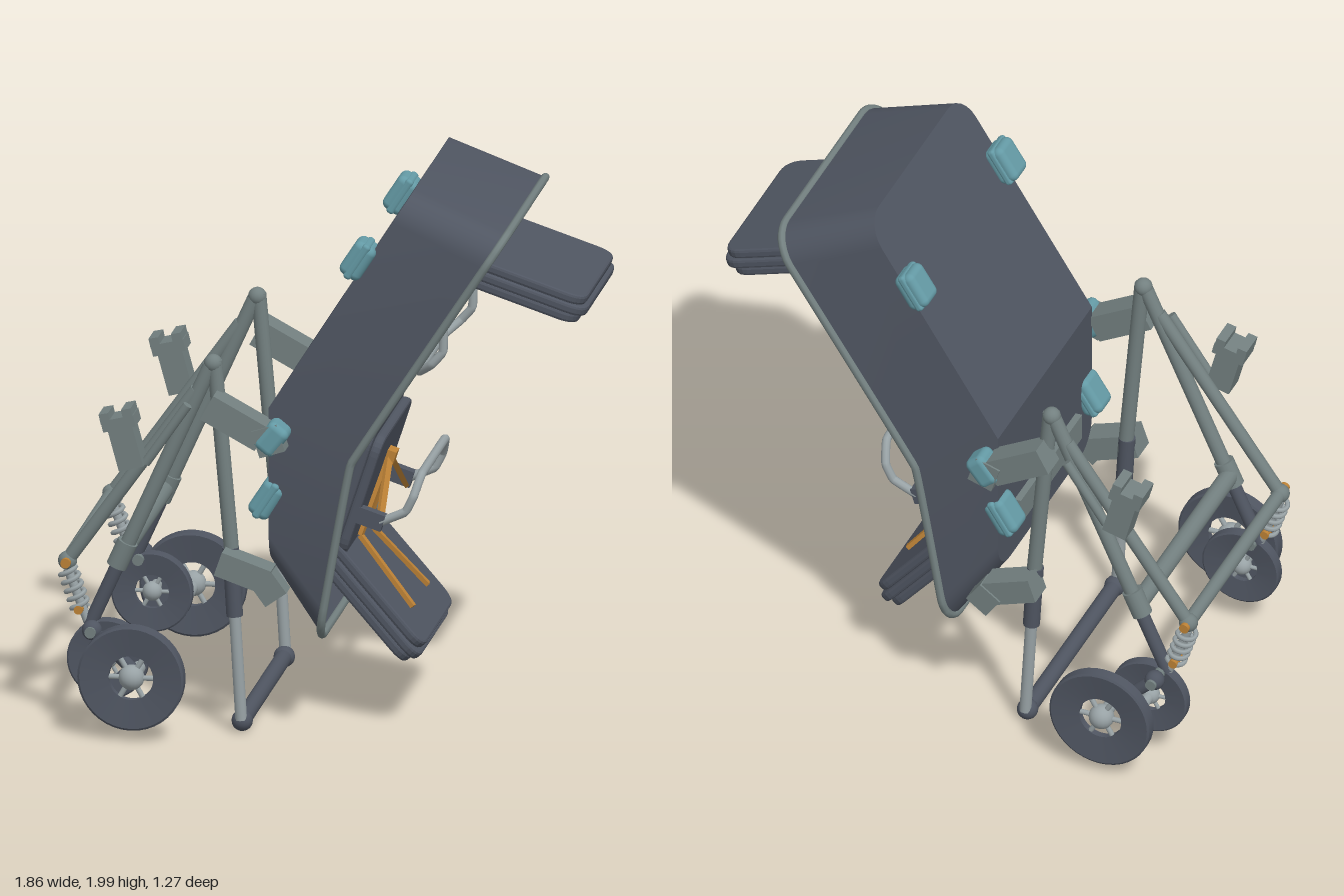
import * as THREE from 'three';
import { toCreasedNormals } from 'three/addons/utils/BufferGeometryUtils.js';
import { RoundedBoxGeometry } from 'three/addons/geometries/RoundedBoxGeometry.js';

const V = (x, y, z = 0) => new THREE.Vector3(x, y, z);
const mat = (name, color, side = THREE.FrontSide) => {
  const m = new THREE.MeshStandardMaterial({ color, side });
  m.name = name;
  return m;
};
const slate = mat('slate', 0x4f5561);
const slateShell = mat('slate shell', 0x4f5561, THREE.DoubleSide);
const grey = mat('grey metal', 0x738080);
const light = mat('light metal', 0x98a2a5);
const teal = mat('teal', 0x649aa5);
const orange = mat('orange', 0xbd8236);

function add(parent, name, geo, material, pos) {
  const m = new THREE.Mesh(geo, material);
  m.name = name;
  if (pos) m.position.copy(pos);
  parent.add(m);
  return m;
}

// Round bar between two points
function bar(parent, name, a, b, r, material, r2 = r) {
  const m = add(parent, name, new THREE.CylinderGeometry(r2, r, a.distanceTo(b), 16), material,
    a.clone().add(b).multiplyScalar(0.5));
  m.quaternion.setFromUnitVectors(V(0, 1, 0), b.clone().sub(a).normalize());
  return m;
}

// Box whose long axis runs between two points of the xy plane
function beam(parent, name, a, b, thick, depth, material) {
  const d = b.clone().sub(a);
  const m = add(parent, name, new THREE.BoxGeometry(d.length(), thick, depth), material,
    a.clone().add(b).multiplyScalar(0.5));
  m.rotation.z = Math.atan2(d.y, d.x);
  return m;
}

// Flat strap between two points, thin in the local y direction
function strap(parent, a, b) {
  const m = add(parent, 'strap', new THREE.BoxGeometry(0.016, a.distanceTo(b), 0.024), orange,
    a.clone().add(b).multiplyScalar(0.5));
  m.quaternion.setFromUnitVectors(V(0, 1, 0), b.clone().sub(a).normalize());
}

// Half outline (z > 0) of a rounded rectangle bent along a three point path
function halfOutline(path, hw, r) {
  const pts = [], n = 6;
  const along = (from, to, d) => from.clone().add(to.clone().sub(from).setLength(d));
  for (let i = 0; i <= n; i++) {
    const a = (i / n) * Math.PI / 2;
    const p = along(path[0], path[1], r * (1 - Math.sin(a)) + 1e-4);
    pts.push(p.setZ(hw - r + r * Math.sin(Math.PI / 2 - a)));
  }
  pts.reverse();
  // run from the bottom edge round the corner to the side
  const bottom = [];
  for (let i = 0; i <= n; i++) {
    const a = (i / n) * Math.PI / 2;
    bottom.push(along(path[0], path[1], r * (1 - Math.cos(a)) + 1e-4).setZ(hw - r + r * Math.sin(a)));
  }
  const top = bottom.map((p, i) => {
    const a = (i / n) * Math.PI / 2;
    return along(path[2], path[1], r * (1 - Math.cos(a)) + 1e-4).setZ(p.z);
  }).reverse();
  return [...bottom, path[1].clone().setZ(hw), ...top];
}
const flip = p => V(p.x, p.y, -p.z);
const fullLoop = h => [...h, ...h.map(flip).reverse()];

// Open tub: walls from the rim to the back, plus the back panel and rim bead
function buildTub(root) {
  const rimHalf = halfOutline([V(0.0, 0.36), V(0.12, 1.02), V(0.66, 1.86)], 0.465, 0.12);
  const backHalf = halfOutline([V(-0.18, 0.62), V(-0.18, 1.2), V(0.32, 1.995)], 0.43, 0.11);
  const rim = fullLoop(rimHalf), back = fullLoop(backHalf), tri = [];
  const quad = (a, b, c, d) => [a, b, c, b, d, c].forEach(p => tri.push(p.x, p.y, p.z));
  rim.forEach((p, i) => {
    const j = (i + 1) % rim.length;
    quad(p, rim[j], back[i], back[j]);
  });
  for (let i = 0; i < backHalf.length - 1; i++) {
    quad(backHalf[i], backHalf[i + 1], flip(backHalf[i]), flip(backHalf[i + 1]));
  }
  const geo = new THREE.BufferGeometry();
  geo.setAttribute('position', new THREE.Float32BufferAttribute(tri, 3));
  add(root, 'tubShell', toCreasedNormals(geo, 0.5), slateShell);
  const curve = new THREE.CatmullRomCurve3(rim, true, 'catmullrom', 0.05);
  add(root, 'rimBead', new THREE.TubeGeometry(curve, 220, 0.015, 8, true), grey);
}

// Cushion layer with rounded plan corners: length on x, top at y = 0
function cushionGeometry(x0, x1, hw, t) {
  const r = 0.06, b = 0.01, s = new THREE.Shape();
  const X0 = x0 + b, X1 = x1 - b, W = hw - b;
  s.moveTo(X0 + r, -W);
  s.lineTo(X1 - r, -W); s.quadraticCurveTo(X1, -W, X1, -W + r);
  s.lineTo(X1, W - r); s.quadraticCurveTo(X1, W, X1 - r, W);
  s.lineTo(X0 + r, W); s.quadraticCurveTo(X0, W, X0, W - r);
  s.lineTo(X0, -W + r); s.quadraticCurveTo(X0, -W, X0 + r, -W);
  const g = new THREE.ExtrudeGeometry(s, { depth: t - 2 * b, bevelSize: b, bevelThickness: b, bevelSegments: 2, curveSegments: 6 });
  g.translate(0, 0, b);
  return g.rotateX(Math.PI / 2);
}
function cushion(parent, name, x0, x1) {
  const g = new THREE.Group();
  g.name = name;
  [[0, 0.02], [0.036, 0], [0.072, 0.015]].forEach(([y, inset]) =>
    add(g, 'cushionLayer', cushionGeometry(x0, x1 - inset, 0.305 - inset * 0.5, 0.036), slate, V(0, -y, 0)));
  parent.add(g);
  return g;
}

// Seat: local x runs up the backrest, local y points out of its face
function buildSeat(root, name, hinge, angle, flipped) {
  const g = new THREE.Group();
  g.name = name;
  g.position.copy(hinge);
  g.rotation.set(flipped ? Math.PI : 0, 0, THREE.MathUtils.degToRad(angle), 'ZYX');
  root.add(g);
  cushion(g, 'backrest', -0.02, 0.46);
  const base = cushion(g, 'seatBase', -0.1, 0.45);
  const tilt = THREE.MathUtils.degToRad(121);
  base.rotation.set(Math.PI, 0, tilt, 'ZYX');
  const onSeat = (s, z) => V(s * Math.cos(tilt) + 0.01, s * Math.sin(tilt) + 0.006, z);
  // Harness
  add(g, 'harnessBuckle', new THREE.BoxGeometry(0.05, 0.035, 0.06), orange, V(0.3, 0.015, 0));
  for (const s of [1, -1]) {
    strap(g, V(0.3, 0.01, s * 0.01), V(0.01, 0.01, s * 0.08));
    strap(g, V(0.01, 0.01, s * 0.08), onSeat(0.31, s * 0.14));
    strap(g, V(0.3, 0.01, s * 0.01), V(0.13, 0.075, s * 0.25));
    add(g, 'armrest', new THREE.BoxGeometry(0.06, 0.1, 0.04), slate, V(0.15, 0.04, s * 0.275));
  }
  // Lap bar
  const path = [V(0.15, 0.077, 0.28), V(0.217, 0.15, 0.28), V(0.28, 0.16, 0.28), V(0.352, 0.157, 0.22)];
  const lap = new THREE.CatmullRomCurve3([...path, ...path.map(flip).reverse()], false, 'catmullrom', 0.12);
  add(g, 'lapBar', new THREE.TubeGeometry(lap, 80, 0.016, 10), light);
}

// Disc wheel with an open centre, spokes and a round hub
function buildWheel(parent, name, pos, r, w) {
  const g = new THREE.Group();
  g.name = name;
  g.position.copy(pos);
  parent.add(g);
  const h = w / 2, i = r * 0.42;
  const pts = [[i, -h * 0.5], [r * 0.96, -h], [r, -h * 0.8], [r, h * 0.8], [r * 0.96, h], [i, h * 0.5], [i, -h * 0.5]];
  const tyre = new THREE.LatheGeometry(pts.map(p => new THREE.Vector2(...p)), 40).rotateX(Math.PI / 2);
  add(g, 'tyre', toCreasedNormals(tyre, 0.5), slate);
  add(g, 'hub', new THREE.SphereGeometry(r * 0.24, 18, 12), light);
  for (let k = 0; k < 6; k++) {
    const a = k * Math.PI / 3;
    bar(g, 'spoke', V(0, 0), V(Math.cos(a) * i * 1.05, Math.sin(a) * i * 1.05), r * 0.05, light);
  }
}

// One side of the frame; s is +1 or -1
function buildSide(root, s) {
  const g = new THREE.Group();
  g.name = s > 0 ? 'leftFrame' : 'rightFrame';
  root.add(g);
  const P = (x, y, z = 0.42) => V(x, y, z * s);
  // Folding stand leg
  bar(g, 'standLegUpper', P(-0.31, 0.62), P(-0.375, 1.36), 0.027, grey);
  bar(g, 'standLegSleeve', P(-0.303, 0.43), P(-0.318, 0.68), 0.03, slate);
  bar(g, 'standLegPiston', P(-0.28, 0.05), P(-0.303, 0.44), 0.021, light);
  add(g, 'foot', new THREE.SphereGeometry(0.038, 16, 12), slate, P(-0.28, 0.042, 0.4));
  add(g, 'apexJoint', new THREE.SphereGeometry(0.033, 16, 12), grey, P(-0.38, 1.35));
  // Wheel leg and brace
  bar(g, 'wheelLegUpper', P(-0.7, 0.64), P(-0.39, 1.34), 0.027, grey);
  bar(g, 'wheelLegCollar', P(-0.725, 0.59), P(-0.685, 0.68), 0.037, grey);
  bar(g, 'wheelLegLower', P(-0.82, 0.37), P(-0.7, 0.64), 0.025, slate);
  bar(g, 'brace', P(-0.9, 0.6), P(-0.44, 1.25), 0.024, grey);
  bar(g, 'braceRod', P(-0.61, 0.99, 0.48), P(-0.46, 1.21, 0.48), 0.017, grey);
  add(g, 'braceJoint', new THREE.SphereGeometry(0.034, 16, 12), grey, P(-0.9, 0.6));
  add(g, 'bracePin', new THREE.CylinderGeometry(0.018, 0.018, 0.09, 12).rotateX(Math.PI / 2), orange, P(-0.9, 0.6));
  // Spring strut
  const a = P(-0.9, 0.57), b = P(-0.85, 0.42), coil = [];
  for (let i = 0; i <= 60; i++) {
    const t = i / 60, q = t * Math.PI * 10;
    coil.push(a.clone().lerp(b, t).add(V(Math.cos(q) * 0.03, Math.cos(q) * 0.01, Math.sin(q) * 0.03)));
  }
  add(g, 'spring', new THREE.TubeGeometry(new THREE.CatmullRomCurve3(coil), 150, 0.009, 6), light);
  bar(g, 'springCore', a, P(-0.82, 0.36), 0.016, light);
  add(g, 'springPin', new THREE.CylinderGeometry(0.016, 0.016, 0.08, 12).rotateX(Math.PI / 2), orange, P(-0.855, 0.43));
  // Wheels and their carrier
  add(g, 'carrierJoint', new THREE.SphereGeometry(0.036, 14, 10), slate, P(-0.8, 0.37, 0.49));
  bar(g, 'carrierPin', P(-0.8, 0.37, 0.38), P(-0.8, 0.37, 0.53), 0.02, grey);
  bar(g, 'carrierArm', P(-0.8, 0.37, 0.49), P(-0.65, 0.23, 0.49), 0.023, slate);
  bar(g, 'axle', P(-0.64, 0.23, 0.45), P(-0.64, 0.23, 0.6), 0.024, light);
  bar(g, 'innerAxle', P(-0.755, 0.25, 0.4), P(-0.755, 0.25, 0.5), 0.02, light);
  buildWheel(g, 'outerWheel', P(-0.64, 0.235, 0.59), 0.19, 0.05);
  buildWheel(g, 'innerWheel', P(-0.755, 0.25, 0.42), 0.145, 0.04);
  // Handle block with a notched top
  beam(g, 'handleBlock', P(-0.655, 0.975, 0.475), P(-0.7, 1.14, 0.475), 0.09, 0.085, grey);
  beam(g, 'handleCap', P(-0.695, 1.12, 0.475), P(-0.705, 1.16, 0.475), 0.12, 0.1, grey);
  for (const dx of [-0.04, 0.04]) {
    beam(g, 'handleProng', P(-0.705 + dx, 1.15 + dx * 0.27, 0.475), P(-0.713 + dx, 1.185 + dx * 0.27, 0.475), 0.035, 0.1, grey);
  }
  // Brackets joining frame and tub
  beam(g, 'upperBracket', P(-0.385, 1.215, 0.47), P(-0.19, 1.11, 0.47), 0.1, 0.1, grey);
  beam(g, 'upperBracketEnd', P(-0.21, 1.09, 0.49), P(-0.12, 1.12, 0.49), 0.1, 0.075, grey);
  const knob = add(g, 'upperClamp', new RoundedBoxGeometry(0.12, 0.085, 0.1, 3, 0.025), teal, P(-0.155, 1.11, 0.485));
  knob.rotation.z = 0.9;
  beam(g, 'lowerBracket', P(-0.345, 0.645, 0.47), P(-0.17, 0.585, 0.47), 0.09, 0.1, grey);
  beam(g, 'lowerBracketEnd', P(-0.2, 0.535, 0.49), P(-0.125, 0.59, 0.49), 0.09, 0.075, grey);
  beam(g, 'innerBracket', P(-0.14, 1.13, 0.36), P(-0.05, 1.25, 0.36), 0.07, 0.07, grey);
  // Corner bumpers on the tub back
  [[0.14, 1.76, 0.41], [-0.19, 0.86, 0.39]].forEach(([x, y, z]) => {
    const m = add(g, 'bumper', new RoundedBoxGeometry(0.14, 0.085, 0.11, 3, 0.025), teal, P(x, y, z));
    m.rotation.z = 1.0;
    const band = add(g, 'bumperBand', new RoundedBoxGeometry(0.148, 0.03, 0.118, 2, 0.012), teal, P(x, y, z));
    band.rotation.z = 1.0;
  });
}

export function createModel() {
  const root = new THREE.Group();
  root.name = 'carrier';
  buildTub(root);
  buildSeat(root, 'lowerSeat', V(0.07, 0.64), 72, true);
  buildSeat(root, 'upperSeat', V(0.48, 1.65), 221, false);
  for (const s of [1, -1]) buildSide(root, s);
  // Cross bars
  bar(root, 'footBar', V(-0.28, 0.042, -0.4), V(-0.28, 0.042, 0.4), 0.03, slate);
  bar(root, 'rearCrossBar', V(-0.9, 0.6, -0.42), V(-0.9, 0.6, 0.42), 0.025, grey);
  bar(root, 'middleCrossBar', V(-0.71, 0.63, -0.41), V(-0.71, 0.63, 0.41), 0.033, grey);
  add(root, 'backPlate', new THREE.BoxGeometry(0.03, 0.1, 0.56), grey, V(-0.19, 0.79, 0));
  return root;
}
